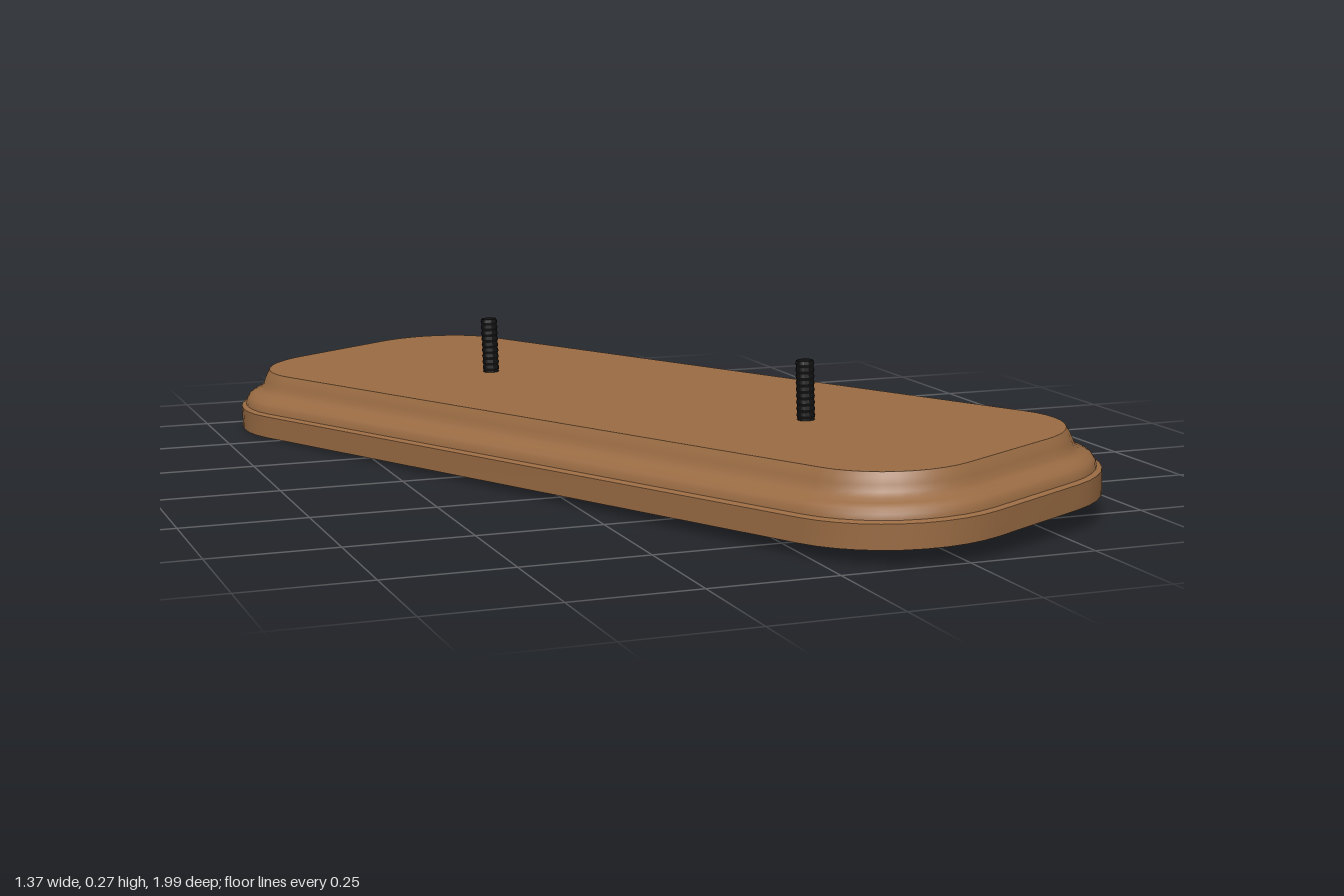
import * as THREE from 'three';
import { toCreasedNormals } from 'three/addons/utils/BufferGeometryUtils.js';

const HALF_WIDTH = 0.372, HALF_LENGTH = 1.018, CORNER = 0.25, STEPS = 10;

// Moulded edge, bottom to top: [inset, height]
const EDGE = [
  [0, 0], [0, 0.047], [0.01, 0.051], [0.012, 0.061], [0.018, 0.07], [0.03, 0.077],
  [0.043, 0.083], [0.051, 0.092], [0.055, 0.104], [0.06, 0.115], [0.066, 0.125],
];

// Rounded rectangle loop at a given inset and height
function outline(inset, y) {
  const points = [];
  const r = CORNER - inset;
  [[1, 1], [-1, 1], [-1, -1], [1, -1]].forEach(([sx, sz], quarter) => {
    for (let k = 0; k <= STEPS; k++) {
      const t = (quarter + k / STEPS) * Math.PI / 2;
      points.push(
        sx * (HALF_WIDTH - CORNER) + r * Math.cos(t), y,
        sz * (HALF_LENGTH - CORNER) + r * Math.sin(t));
    }
  });
  return points;
}

// Skin the loops together and close the bottom and top
function boardGeometry() {
  const n = 4 * (STEPS + 1);
  const positions = EDGE.flatMap(([inset, y]) => outline(inset, y));
  const index = [];
  for (let j = 0; j < EDGE.length - 1; j++) {
    for (let i = 0; i < n; i++) {
      const a = j * n + i, b = j * n + (i + 1) % n;
      index.push(a, a + n, b, b, a + n, b + n);
    }
  }
  const bottom = EDGE.length * n, top = bottom + 1, last = (EDGE.length - 1) * n;
  positions.push(0, EDGE[0][1], 0, 0, EDGE[EDGE.length - 1][1], 0);
  for (let i = 0; i < n; i++) {
    const next = (i + 1) % n;
    index.push(bottom, i, next, top, last + next, last + i);
  }
  const geometry = new THREE.BufferGeometry();
  geometry.setAttribute('position', new THREE.Float32BufferAttribute(positions, 3));
  geometry.setIndex(index);
  return toCreasedNormals(geometry, 0.6);
}

// Thin stud with shallow thread ridges
function studGeometry() {
  const length = 0.127, ridges = 10;
  const profile = [new THREE.Vector2(0, 0)];
  for (let k = 0; k <= ridges * 2; k++) {
    profile.push(new THREE.Vector2(k % 2 ? 0.0185 : 0.0165, length * k / (ridges * 2)));
  }
  profile.push(new THREE.Vector2(0, length));
  return toCreasedNormals(new THREE.LatheGeometry(profile, 12), 0.6);
}

export function createModel() {
  const wood = new THREE.MeshStandardMaterial({ color: 0x996b43 });
  wood.name = 'brown wood';
  const metal = new THREE.MeshStandardMaterial({ color: 0x101010 });
  metal.name = 'black metal';

  const model = new THREE.Group();
  model.name = 'mountingBase';

  // Everything leans slightly up towards +x
  const tilted = new THREE.Group();
  tilted.name = 'tiltedBase';
  tilted.position.y = 0.025;
  tilted.rotation.z = 0.036;
  model.add(tilted);

  // Wooden board, turned about the vertical
  const board = new THREE.Mesh(boardGeometry(), wood);
  board.name = 'board';
  board.rotation.y = THREE.MathUtils.degToRad(25);
  tilted.add(board);

  // Two studs standing on the board
  const stud = studGeometry();
  [['backStud', -0.184, -0.395], ['frontStud', 0.198, 0.428]].forEach(([name, x, z]) => {
    const mesh = new THREE.Mesh(stud, metal);
    mesh.name = name;
    mesh.position.set(x, 0.115, z);
    tilted.add(mesh);
  });

  return model;
}
